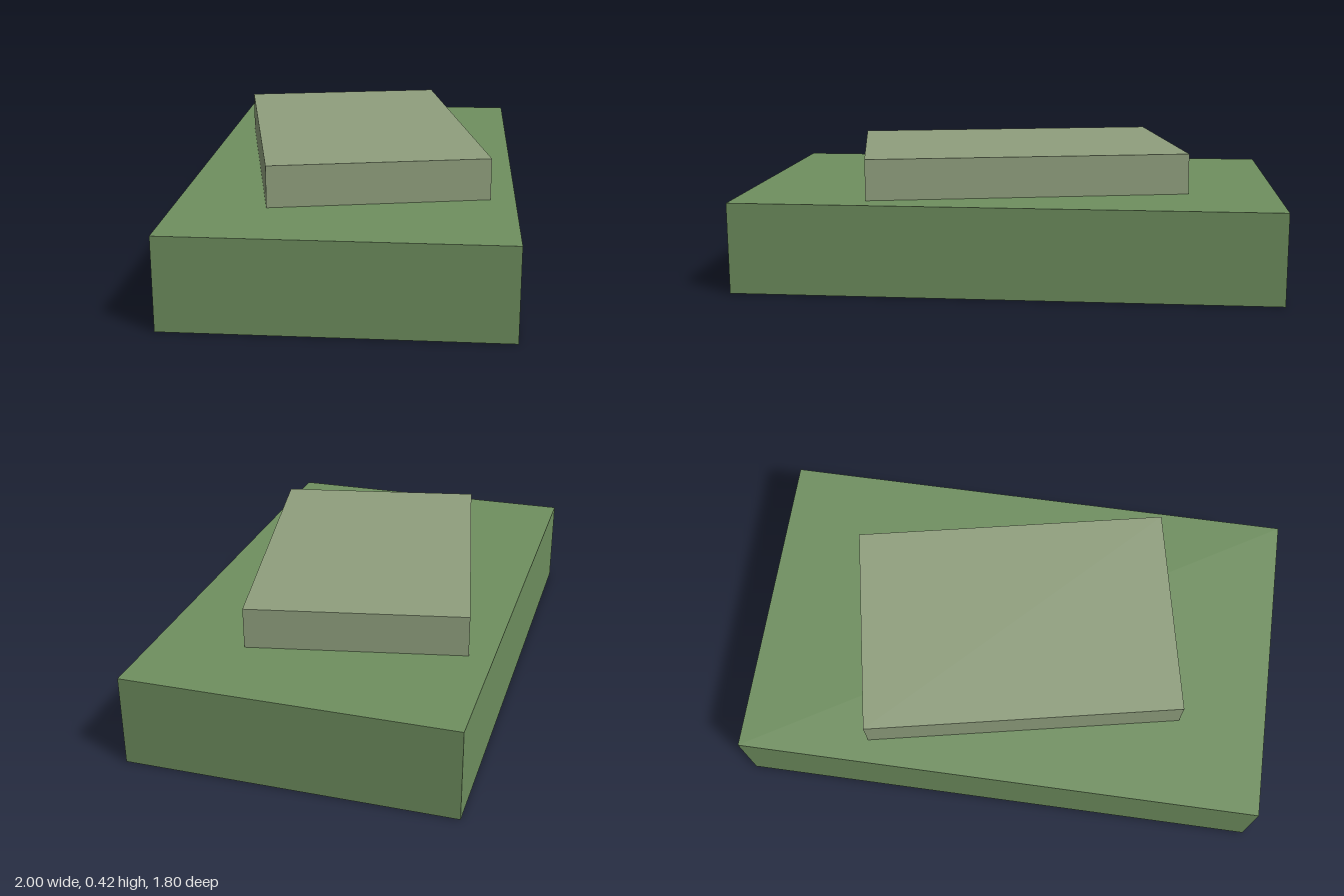
import * as THREE from 'three';

// Box resting at height y, turned about the vertical axis
function slab(name, width, height, depth, y, angle, color) {
  const mesh = new THREE.Mesh(
    new THREE.BoxGeometry(width, height, depth),
    new THREE.MeshStandardMaterial({ color })
  );
  mesh.name = name;
  mesh.position.y = y + height / 2;
  mesh.rotation.y = angle;
  return mesh;
}

export function createModel() {
  const group = new THREE.Group();
  group.name = 'steppedBlock';
  const baseHeight = 0.288;
  // Wide lower block
  group.add(slab('baseBlock', 1.713, baseHeight, 1.03, 0, 0.583, 0x6f8f5f));
  // Smaller, paler slab turned further on top
  group.add(slab('topSlab', 1.03, 0.13, 0.685, baseHeight, Math.PI / 4, 0x8f9f7d));
  return group;
}
